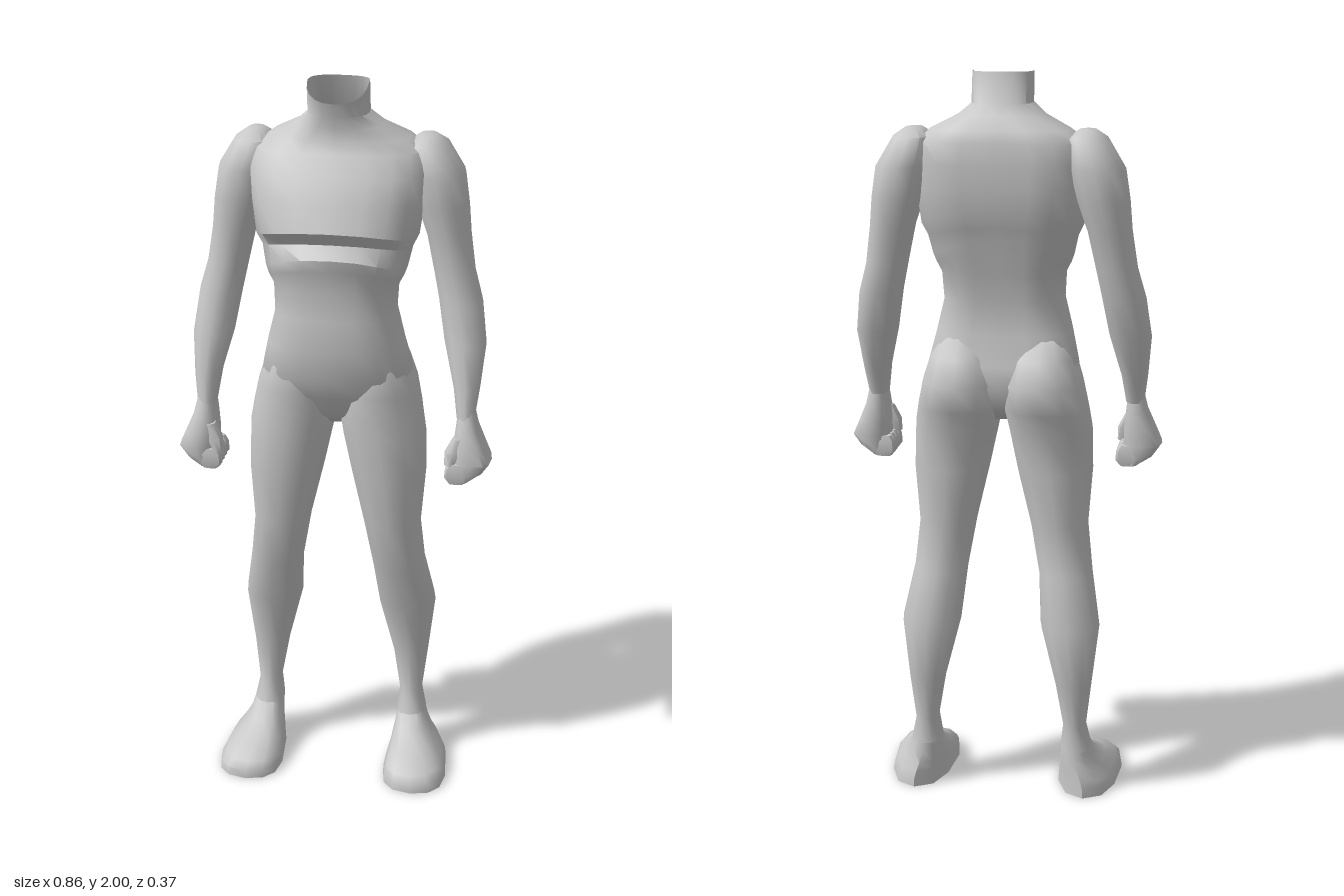
import * as THREE from 'three';
import { toCreasedNormals } from 'three/addons/utils/BufferGeometryUtils.js';

const skin = new THREE.MeshStandardMaterial({ color: 0xc8c8c8, side: THREE.DoubleSide });
skin.name = 'plain grey';

// Signed power, used to square off an ellipse
const pow = (v, p) => Math.sign(v) * Math.abs(v) ** p;

// Skin of stacked rings, listed from top to bottom.
// Row: [y, xMin, xMax, zBack, zWidest, zFront, sag of the sides, groove at the middle of the back]
function loft(rows, { n = 12, px = 0.85, front = 0.85, back = 0.8, openTop = false, dip = 0, crease = 0.9 } = {}) {
  const pos = [], index = [];
  rows.forEach(([y, x0, x1, zb, zm, zf, sag = 0, groove = 0], r) => {
    for (let i = 0; i < n; i++) {
      const t = (i / n) * Math.PI * 2, s = Math.sin(t), c = Math.cos(t);
      const x = (x0 + x1) / 2 + ((x1 - x0) / 2) * pow(s, px);
      let z = c > 0 ? zm + (zf - zm) * pow(c, front) : zm + (zb - zm) * pow(-c, back);
      if (i === n / 2) z += groove;
      const drop = r === 0 ? dip * Math.max(0, c) : 0;
      pos.push(x, y - sag * s * s - drop, z);
    }
  });
  const last = rows.length - 1;
  for (let r = 0; r < last; r++) {
    for (let i = 0; i < n; i++) {
      const j = (i + 1) % n, a = r * n + i, b = r * n + j;
      index.push(a, a + n, b + n, a, b + n, b);
    }
  }
  const cap = (r, top) => {
    const [y, x0, x1, , zm] = rows[r], k = pos.length / 3;
    pos.push((x0 + x1) / 2, y, zm);
    for (let i = 0; i < n; i++) {
      const a = r * n + i, b = r * n + ((i + 1) % n);
      index.push(k, top ? a : b, top ? b : a);
    }
  };
  if (!openTop) cap(0, true);
  cap(last, false);
  const g = new THREE.BufferGeometry();
  g.setAttribute('position', new THREE.Float32BufferAttribute(pos, 3));
  g.setIndex(index);
  return toCreasedNormals(g, crease);
}

// Torso rows use a half width: [y, halfWidth, zBack, zWidest, zFront, sag, groove]
const torsoRows = [
  [2.0, 0.08, -0.092, -0.025, 0.05],
  [1.92, 0.08, -0.115, -0.035, 0.04],
  [1.89, 0.115, -0.135, -0.05, 0.035, 0, 0.005],
  [1.855, 0.185, -0.163, -0.07, 0.035, 0, 0.01],
  [1.825, 0.225, -0.175, -0.06, 0.052, 0, 0.013],
  [1.77, 0.235, -0.182, -0.04, 0.09, 0, 0.015],
  [1.71, 0.228, -0.182, -0.03, 0.122, 0.01, 0.016],
  [1.645, 0.215, -0.175, -0.03, 0.15, 0.04, 0.016],
  [1.605, 0.2, -0.162, -0.02, 0.112, 0.03, 0.015],
  [1.572, 0.188, -0.152, -0.01, 0.142, 0.05, 0.015],
  [1.54, 0.18, -0.145, -0.005, 0.137, 0.04, 0.015],
  [1.475, 0.167, -0.128, 0, 0.115, 0, 0.014],
  [1.4, 0.163, -0.113, 0.005, 0.13, 0, 0.012],
  [1.31, 0.186, -0.108, 0, 0.128, 0, 0.008],
  [1.23, 0.205, -0.135, -0.02, 0.12, 0, 0.01],
  [1.17, 0.18, -0.14, -0.03, 0.093, 0, 0.01],
  [1.11, 0.09, -0.11, -0.03, 0.06],
  [1.075, 0.03, -0.07, -0.03, 0.02],
].map(([y, w, ...rest]) => [y, -w, w, ...rest]);

const legRows = [
  [1.3, 0.06, 0.165, -0.1, -0.02, 0.08],
  [1.25, 0.025, 0.197, -0.152, -0.03, 0.1],
  [1.18, 0.004, 0.22, -0.182, -0.03, 0.1],
  [1.11, 0.003, 0.235, -0.17, -0.03, 0.095],
  [1.055, 0.012, 0.244, -0.135, -0.025, 0.095],
  [0.94, 0.037, 0.247, -0.135, -0.025, 0.09],
  [0.78, 0.075, 0.235, -0.115, -0.02, 0.077],
  [0.64, 0.1, 0.25, -0.122, -0.03, 0.053],
  [0.5, 0.112, 0.276, -0.165, -0.08, 0.003],
  [0.33, 0.155, 0.257, -0.145, -0.09, -0.035],
  [0.2, 0.178, 0.242, -0.125, -0.08, -0.034],
  [0.13, 0.17, 0.257, -0.13, -0.07, -0.01],
];

const footRows = [
  [0.145, 0.175, 0.252, -0.127, -0.07, -0.02],
  [0.105, 0.17, 0.265, -0.132, -0.05, 0.025],
  [0.07, 0.163, 0.29, -0.137, 0.01, 0.1],
  [0.045, 0.155, 0.315, -0.142, 0.06, 0.165],
  [0.025, 0.152, 0.328, -0.145, 0.08, 0.183],
  [0, 0.15, 0.332, -0.145, 0.08, 0.183],
];

const armRows = [
  [1.857, 0.205, 0.25, -0.12, -0.085, -0.045],
  [1.835, 0.175, 0.282, -0.16, -0.085, -0.005],
  [1.76, 0.18, 0.328, -0.18, -0.085, 0.012],
  [1.68, 0.2, 0.34, -0.178, -0.08, 0.01],
  [1.6, 0.228, 0.347, -0.163, -0.08, 0],
  [1.5, 0.25, 0.362, -0.145, -0.07, 0],
  [1.42, 0.267, 0.385, -0.135, -0.06, 0.008],
  [1.31, 0.287, 0.4, -0.105, -0.035, 0.03],
  [1.2, 0.317, 0.39, -0.06, 0, 0.055],
  [1.12, 0.33, 0.38, -0.03, 0.02, 0.068],
];

const handRows = [
  [1.14, 0.335, 0.378, -0.025, 0.02, 0.06],
  [1.09, 0.33, 0.39, -0.033, 0.025, 0.08],
  [1.04, 0.325, 0.412, -0.035, 0.03, 0.093],
  [1.0, 0.325, 0.43, -0.034, 0.03, 0.096],
  [0.97, 0.33, 0.408, -0.032, 0.03, 0.095],
  [0.945, 0.338, 0.368, -0.028, 0.03, 0.09],
];

// Curled fingers: one short block, repeated across the palm
const fingerRows = z => [
  [1.0, 0.318, 0.36, z - 0.013, z, z + 0.013],
  [0.985, 0.308, 0.37, z - 0.016, z, z + 0.016],
  [0.957, 0.306, 0.37, z - 0.016, z, z + 0.016],
  [0.943, 0.318, 0.36, z - 0.013, z, z + 0.013],
];

const thumbRows = [
  [1.07, 0.325, 0.36, 0.045, 0.065, 0.083],
  [1.03, 0.305, 0.35, 0.042, 0.068, 0.092],
  [0.995, 0.304, 0.335, 0.05, 0.07, 0.093],
];

export function createModel() {
  const model = new THREE.Group();
  model.name = 'headlessFigure';
  const add = (parent, name, rows, options) => {
    const mesh = new THREE.Mesh(loft(rows, options), skin);
    mesh.name = name;
    parent.add(mesh);
  };

  // Torso with an open neck
  add(model, 'torso', torsoRows, { n: 20, px: 0.8, front: 0.8, back: 0.6, openTop: true, dip: 0.045, crease: 0.75 });

  // Limbs, mirrored about x = 0
  for (const [side, label] of [[1, 'left'], [-1, 'right']]) {
    const flip = rows => side > 0 ? rows : rows.map(([y, x0, x1, ...rest]) => [y, -x1, -x0, ...rest]);
    const leg = new THREE.Group(), arm = new THREE.Group();
    leg.name = label + 'Leg';
    arm.name = label + 'Arm';
    model.add(leg, arm);
    add(leg, 'thighAndCalf', flip(legRows), { crease: 1.1 });
    add(leg, 'foot', flip(footRows), { front: 0.8, back: 0.9 });
    add(arm, 'upperArmAndForearm', flip(armRows), { crease: 1.1 });
    add(arm, 'hand', flip(handRows), { px: 0.65, front: 0.6, back: 0.6 });
    for (let k = 0; k < 4; k++) add(arm, 'finger', flip(fingerRows(-0.014 + k * 0.031)), { n: 8, px: 0.6, front: 0.6, back: 0.6 });
    add(arm, 'thumb', flip(thumbRows), { n: 8 });
  }
  return model;
}
